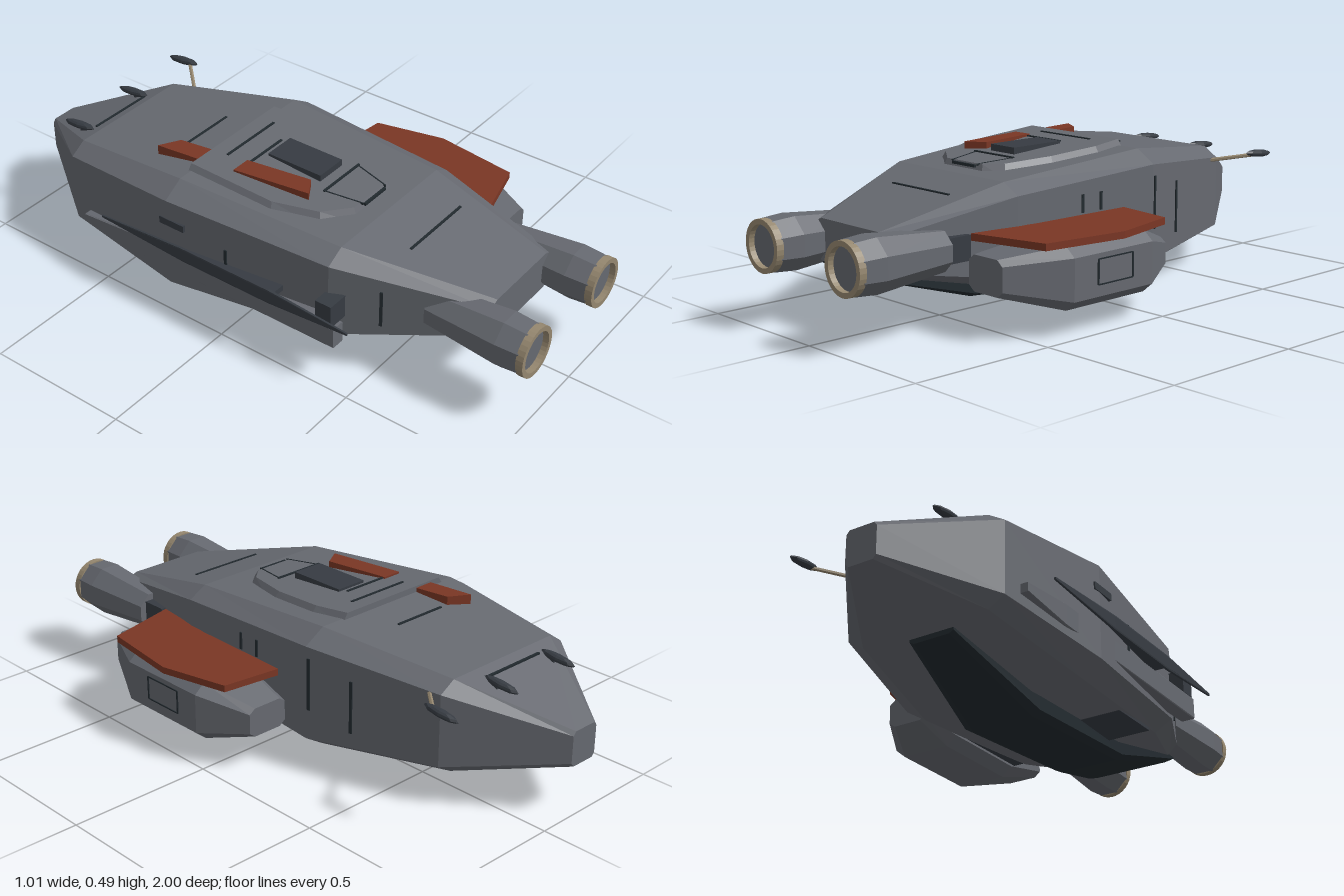
import * as THREE from 'three';

const mat = (name, color) => Object.assign(new THREE.MeshStandardMaterial({ color }), { name });

export function createModel() {
  const root = new THREE.Group();
  root.name = 'spacecraft';
  const hullGrey = mat('hull grey', 0x666970);
  const darkGrey = mat('dark grey', 0x363b42);
  const bellyDark = mat('belly dark', 0x222a2f);
  const rust = mat('rust red', 0x7a3624);
  const beige = mat('beige metal', 0x95876f);
  for (const m of [hullGrey, darkGrey, bellyDark, rust, beige]) m.flatShading = true;

  const add = (name, geo, material, parent = root) => {
    const mesh = new THREE.Mesh(geo, material);
    mesh.name = name;
    parent.add(mesh);
    return mesh;
  };
  const box = (name, material, x0, x1, y0, y1, z0, z1) => {
    const m = add(name, new THREE.BoxGeometry(x1 - x0, y1 - y0, z1 - z0), material);
    m.position.set((x0 + x1) / 2, (y0 + y1) / 2, (z0 + z1) / 2);
    return m;
  };

  // Loft through chamfered rectangles [z, x0, x1, y0, y1], cx and cy being chamfer fractions
  const loft = (stations, cx, cy) => {
    const rings = stations.map(([z, x0, x1, y0, y1]) => {
      const a = (x1 - x0) * cx, b = (y1 - y0) * cy;
      return [[x1 - a, y0], [x1, y0 + b], [x1, y1 - b], [x1 - a, y1],
        [x0 + a, y1], [x0, y1 - b], [x0, y0 + b], [x0 + a, y0]].map(([x, y]) => [x, y, z]);
    });
    const pos = [];
    const tri = (...pts) => pts.forEach((p) => pos.push(...p));
    for (let i = 0; i < rings.length - 1; i++) {
      for (let j = 0; j < 8; j++) {
        const k = (j + 1) % 8, r = rings[i], s = rings[i + 1];
        tri(r[j], r[k], s[k]);
        tri(r[j], s[k], s[j]);
      }
    }
    const first = rings[0], last = rings[rings.length - 1];
    for (let j = 1; j < 7; j++) {
      tri(first[0], first[j + 1], first[j]);
      tri(last[0], last[j], last[j + 1]);
    }
    const g = new THREE.BufferGeometry();
    g.setAttribute('position', new THREE.Float32BufferAttribute(pos, 3));
    g.computeVertexNormals();
    return g;
  };

  // Horizontal plate from an [x, z] outline between two heights
  const plate = (pts, y0, y1) => {
    const shape = new THREE.Shape(pts.map(([x, z]) => new THREE.Vector2(x, -z)));
    return new THREE.ExtrudeGeometry(shape, { depth: y1 - y0, bevelEnabled: false })
      .rotateX(-Math.PI / 2).translate(0, y0, 0);
  };

  // Main hull, slightly skewed along its length
  add('hull', loft([
    [-1, -0.22, -0.11, 0.175, 0.295],
    [-0.68, -0.44, 0.13, 0.105, 0.42],
    [-0.22, -0.49, 0.25, 0.06, 0.475],
    [0.37, -0.42, 0.23, 0.1, 0.435],
    [0.82, -0.21, 0.15, 0.2, 0.335],
  ], 0.1, 0.11), hullGrey);

  // Dark belly keel
  add('belly', loft([
    [-0.65, -0.24, -0.08, 0.085, 0.14],
    [-0.17, -0.235, 0.05, 0, 0.1],
    [0.4, -0.21, 0.06, 0.05, 0.14],
    [0.8, -0.2, 0.16, 0.18, 0.22],
  ], 0.1, 0.15), bellyDark);
  box('bellySidePlate', darkGrey, -0.37, -0.2, 0.08, 0.092, 0.1, 0.3);

  // Raised roof plate: top narrowed, then sloped along the hull
  const roofSlope = (z) => -0.068 * (z + 0.22);
  const roof = plate([[-0.38, -0.23], [-0.365, 0.1], [-0.3, 0.25], [-0.2, 0.32], [0, 0.32],
    [0.06, 0.27], [0.11, 0.1], [0.125, -0.1], [0.105, -0.23]], 0.45, 0.494);
  const rp = roof.attributes.position;
  for (let i = 0; i < rp.count; i++) {
    const top = rp.getY(i) > 0.47;
    const x = top ? -0.13 + (rp.getX(i) + 0.13) * 0.88 : rp.getX(i);
    const z = top ? -0.2 + (rp.getZ(i) + 0.2) * 0.96 : rp.getZ(i);
    rp.setXYZ(i, x, rp.getY(i) + roofSlope(z), z);
  }
  roof.computeVertexNormals();
  add('roofPlate', roof, hullGrey);

  // Roof details
  add('frontRoofStripe', plate([[-0.33, -0.39], [-0.31, -0.22], [-0.24, -0.22], [-0.26, -0.35]], 0.455, 0.488), rust);
  add('rearRoofStripe', plate([[-0.295, -0.1], [-0.255, 0.17], [-0.19, 0.13], [-0.225, -0.1]], 0.46, 0.492), rust);
  box('roofHatch', darkGrey, -0.155, -0.04, 0.465, 0.492, -0.07, 0.14);
  const seam = (x0, x1, z, y) => box('panelSeam', bellyDark, x0, x1, y - 0.006, y + 0.003, z - 0.004, z + 0.004);
  seam(-0.24, 0, -0.17, 0.491);
  seam(-0.26, -0.06, -0.09, 0.486);
  seam(-0.19, 0, 0.18, 0.468);
  seam(-0.15, -0.04, 0.31, 0.453);
  seam(-0.23, -0.03, -0.35, 0.46);
  seam(-0.2, 0.08, 0.52, 0.402);
  seam(-0.28, -0.04, -0.72, 0.406);
  for (const [x, tilt] of [[-0.17, -0.22], [-0.02, 0.22]]) {
    box('panelSeam', bellyDark, x - 0.002, x + 0.002, 0.457, 0.464, 0.18, 0.31).rotation.set(0.068, -tilt, 0);
  }

  // Side seams set on the slanting hull sides
  const sideSeam = (x, z, y0, y1, yaw) => {
    box('sideSeam', bellyDark, x - 0.003, x + 0.003, y0, y1, z - 0.005, z + 0.005).rotation.y = yaw;
  };
  sideSeam(0.248, -0.23, 0.21, 0.39, 0.25);
  sideSeam(0.209, -0.38, 0.17, 0.35, 0.25);
  sideSeam(0.24, 0.1, 0.31, 0.37, 0);
  sideSeam(0.243, 0.02, 0.31, 0.37, 0);
  sideSeam(-0.352, 0.52, 0.2, 0.33, 0.44);
  sideSeam(-0.465, 0.0, 0.22, 0.32, 0);

  // Side equipment: rail, end box and long blade
  add('sideRail', loft([[-0.61, -0.475, -0.4, 0.17, 0.2], [-0.4, -0.478, -0.4, 0.145, 0.22],
    [0.43, -0.475, -0.425, 0.145, 0.22]], 0.05, 0.05), hullGrey);
  box('railEndBox', darkGrey, -0.474, -0.4, 0.22, 0.3, 0.36, 0.42);
  add('sideBlade', loft([[-0.5, -0.503, -0.496, 0.25, 0.258], [-0.15, -0.505, -0.494, 0.23, 0.28],
    [0.2, -0.505, -0.494, 0.23, 0.28], [0.5, -0.503, -0.496, 0.25, 0.258]], 0.1, 0.1), darkGrey);
  box('bladeMount', darkGrey, -0.5, -0.44, 0.245, 0.265, -0.2, 0.21);
  box('sideClip', darkGrey, -0.492, -0.47, 0.335, 0.36, -0.25, -0.15);

  // Side pod with its cover plate
  add('sidePod', loft([
    [-0.12, 0.25, 0.4, 0.12, 0.22],
    [0.04, 0.235, 0.49, 0.08, 0.28],
    [0.38, 0.235, 0.49, 0.08, 0.28],
    [0.58, 0.24, 0.39, 0.14, 0.255],
  ], 0.15, 0.16), hullGrey);
  box('podMount', darkGrey, 0.18, 0.26, 0.12, 0.26, 0.05, 0.4);
  add('podCover', plate([[0.245, -0.085], [0.235, 0.3], [0.205, 0.54], [0.465, 0.475],
    [0.505, 0.18], [0.45, -0.06]], 0.281, 0.304), rust);
  for (const z of [0.13, 0.28]) box('podSeam', bellyDark, 0.486, 0.493, 0.15, 0.23, z - 0.003, z + 0.003);
  for (const y of [0.15, 0.23]) box('podSeam', bellyDark, 0.486, 0.493, y - 0.002, y + 0.002, 0.13, 0.28);

  // Twin engines
  for (const x of [-0.235, 0.175]) {
    const engine = new THREE.Group();
    engine.name = 'engine';
    engine.position.set(x, 0.263, 0);
    root.add(engine);
    const body = new THREE.LatheGeometry([[0, 0.64], [0.068, 0.64], [0.092, 0.9], [0.086, 0.98], [0, 0.98]]
      .map(([r, z]) => new THREE.Vector2(r, z)), 8).rotateY(Math.PI / 8).rotateX(Math.PI / 2);
    add('engineBody', body, hullGrey, engine);
    const rim = new THREE.Shape().absarc(0, 0, 0.085, 0, Math.PI * 2);
    rim.holes.push(new THREE.Path().absarc(0, 0, 0.068, 0, Math.PI * 2, true));
    add('engineRim', new THREE.ExtrudeGeometry(rim, { depth: 0.025, bevelEnabled: false, curveSegments: 16 })
      .translate(0, 0, 0.975), beige, engine);
    add('engineBracket', new THREE.BoxGeometry(0.08, 0.08, 0.12).translate(0, 0, 0.61), darkGrey, engine);
  }

  // Sensor fins near the nose, the outer one on an arm
  for (const x of [-0.3, -0.03, 0.24]) {
    const fin = add('sensorFin', new THREE.SphereGeometry(1, 8, 6).scale(0.017, 0.013, 0.068), darkGrey);
    fin.position.set(x, 0.402, -0.78);
    fin.rotation.x = -0.1;
    if (x < 0.2) box('finPost', darkGrey, x - 0.008, x + 0.008, 0.36, 0.4, -0.77, -0.74);
  }
  const arm = new THREE.LineCurve3(new THREE.Vector3(0.08, 0.37, -0.58), new THREE.Vector3(0.24, 0.4, -0.75));
  add('sensorArm', new THREE.TubeGeometry(arm, 1, 0.007, 6), beige);

  return root;
}
